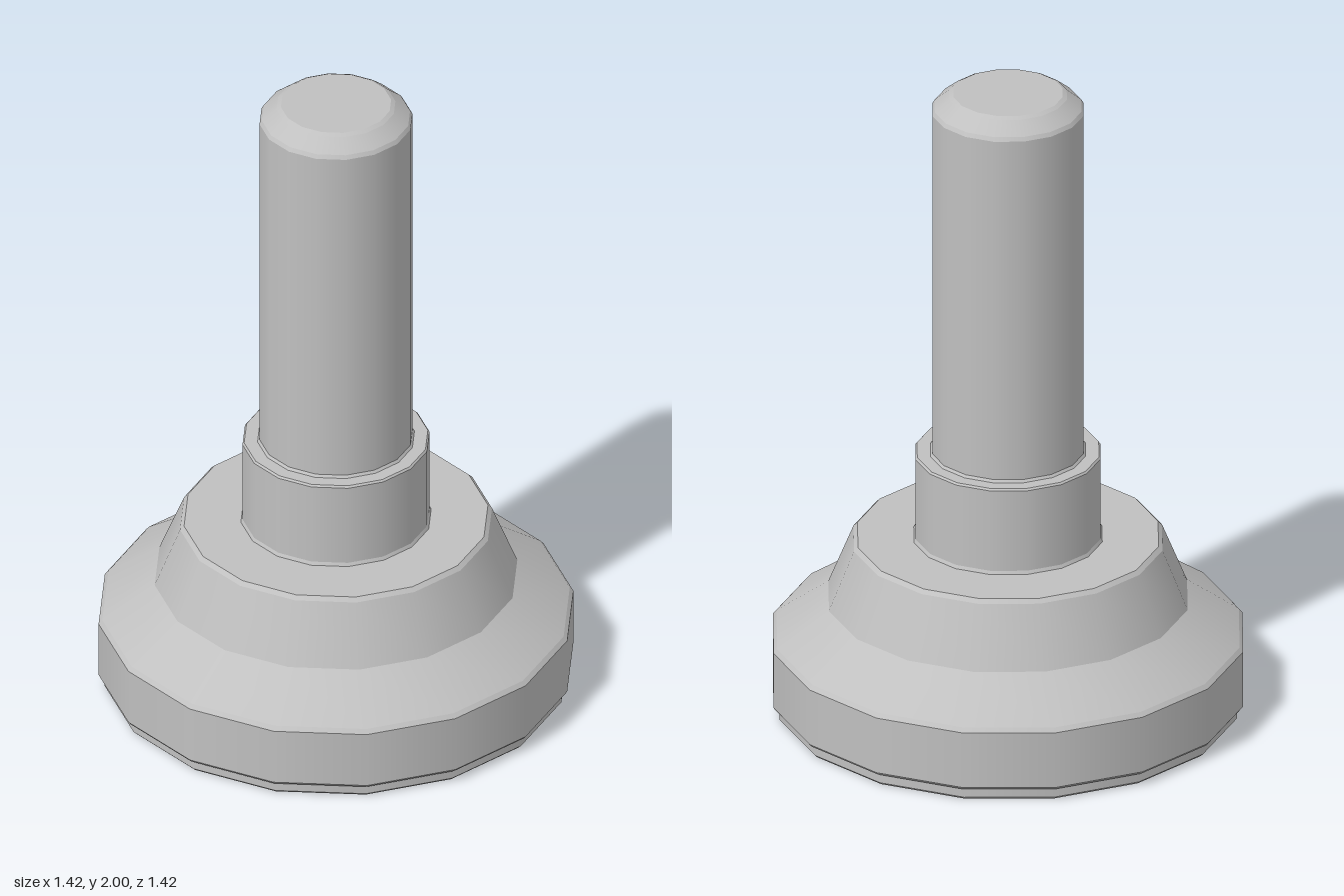
import * as THREE from 'three';
import { mergeGeometries } from 'three/addons/utils/BufferGeometryUtils.js';

const SIDES = 16;

// Turned part: smooth around the axis, crisp edge at every profile point.
function turned(name, profile, material) {
  const pts = profile.map(([r, y]) => new THREE.Vector2(r, y));
  const bands = [];
  for (let i = 0; i < pts.length - 1; i++) {
    bands.push(new THREE.LatheGeometry([pts[i], pts[i + 1]], SIDES));
  }
  const mesh = new THREE.Mesh(mergeGeometries(bands), material);
  mesh.name = name;
  return mesh;
}

export function createModel() {
  const group = new THREE.Group();
  group.name = 'levellingFoot';
  const steel = new THREE.MeshStandardMaterial({ color: 0xc0c0c0 });
  steel.name = 'grey steel';

  // Thin pad under the foot
  group.add(turned('solePad', [
    [0, 0], [0.685, 0], [0.693, 0.008], [0.693, 0.04],
  ], steel));

  // Wide rim, shallow shoulder, steep shoulder and flat top
  group.add(turned('footBase', [
    [0.693, 0.04], [0.705, 0.04], [0.711, 0.048], [0.711, 0.227], [0.7, 0.24],
    [0.543, 0.35], [0.467, 0.538], [0.455, 0.55], [0.285, 0.55],
  ], steel));

  // Collar between foot and shaft
  group.add(turned('collar', [
    [0.285, 0.55], [0.28, 0.56], [0.28, 0.822], [0.275, 0.828], [0.235, 0.828],
  ], steel));

  // Shaft with chamfered tip
  group.add(turned('shaft', [
    [0.235, 0.828], [0.229, 0.836], [0.229, 1.945], [0.222, 1.957],
    [0.178, 1.993], [0.165, 2], [0, 2],
  ], steel));

  return group;
}
